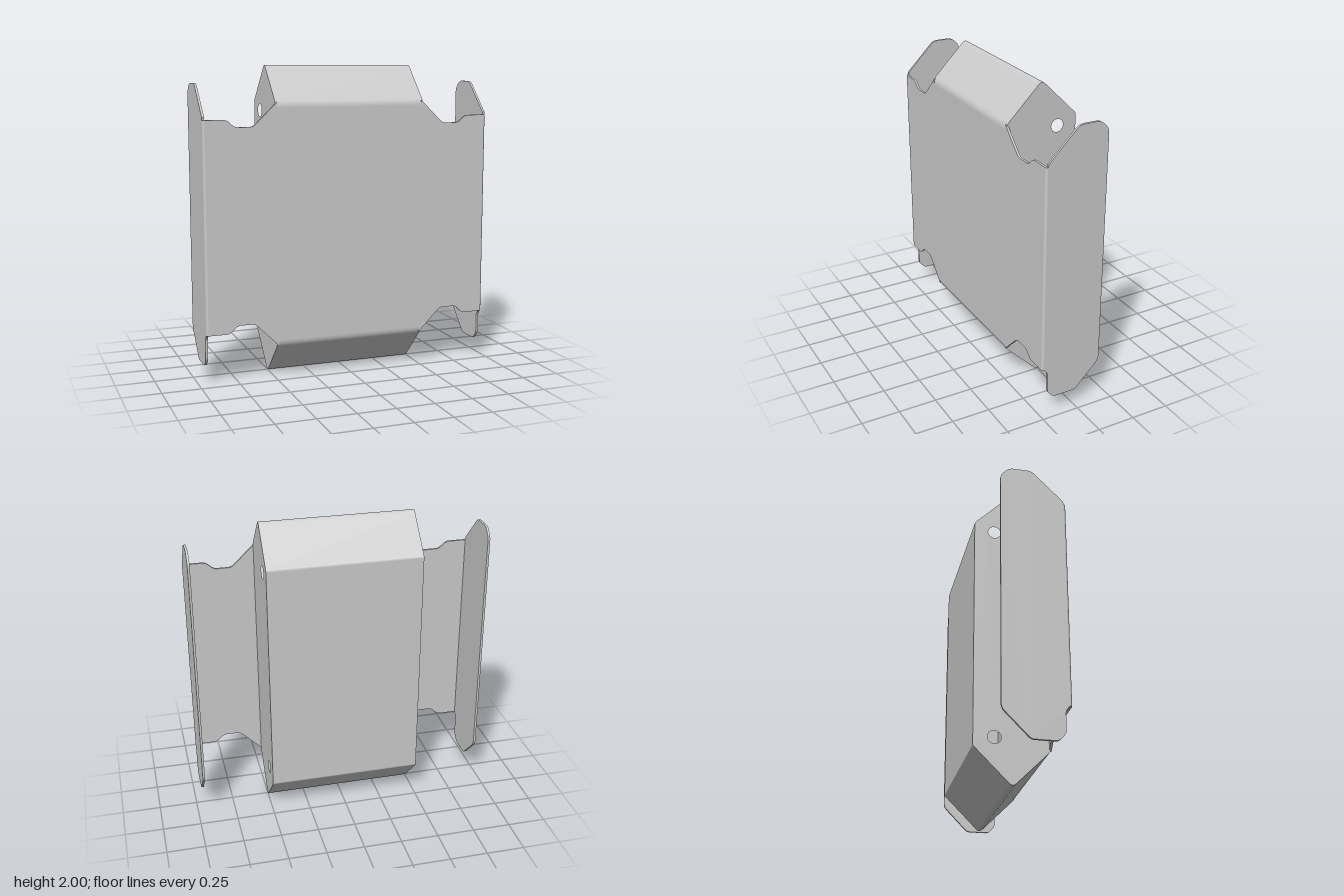
import * as THREE from 'three';

const T = 0.015;        // sheet thickness
const FRONT = 0.24;     // z of the front face
const EDGE = 0.96;      // outer x of the flanges

// Closed outline whose corners are rounded; a point is [x, y, cut length].
function roundedShape(points) {
  const shape = new THREE.Shape();
  const n = points.length;
  const v = points.map(([x, y]) => new THREE.Vector2(x, y));
  points.forEach(([, , cut = 0], i) => {
    const toward = (j) => v[j].clone().sub(v[i]).setLength(cut).add(v[i]);
    const a = cut ? toward((i + n - 1) % n) : v[i];
    if (i === 0) shape.moveTo(a.x, a.y);
    else shape.lineTo(a.x, a.y);
    if (cut) {
      const b = toward((i + 1) % n);
      shape.quadraticCurveTo(v[i].x, v[i].y, b.x, b.y);
    }
  });
  shape.closePath();
  return shape;
}

const extrude = (shape, depth) =>
  new THREE.ExtrudeGeometry(shape, { depth, bevelEnabled: false, curveSegments: 8 });

// Extrudes a side profile of [z, y, cut] points along x, starting at x0.
function extrudeAcross(profile, x0, width, holes = []) {
  const shape = roundedShape(profile.map(([z, y, cut]) => [-z, y, cut]));
  for (const [z, y, r] of holes) {
    shape.holes.push(new THREE.Path().absarc(-z, y, r, 0, Math.PI * 2, true));
  }
  return extrude(shape, width).rotateY(Math.PI / 2).translate(x0, 0, 0);
}

export function createModel() {
  const model = new THREE.Group();
  const material = new THREE.MeshStandardMaterial({ color: 0xcccccc });
  const add = (name, geometry) => {
    const mesh = new THREE.Mesh(geometry, material);
    mesh.name = name;
    model.add(mesh);
  };

  // Six-sided body with two holes running through its ends
  add('body', extrudeAcross([
    [FRONT, 0.23, 0.03], [FRONT, 1.77, 0.03], [0, 2.0106, 0.03],
    [-FRONT, 1.77, 0.01], [-FRONT, 0.23, 0.01], [0, -0.0106, 0.03],
  ], -0.5, 1, [[-0.11, 1.71, 0.042], [-0.11, 0.29, 0.042]]));

  // Side wings of the front plate, bends and flanges
  for (const side of [1, -1]) {
    const label = side > 0 ? 'left' : 'right';

    const wing = [
      [0.49, 0.225], [0.5, 0.235], [0.645, 0.38, 0.025], [0.76, 0.38, 0.025],
      [0.81, 0.33, 0.025], [EDGE - T, 0.33], [EDGE - T, 1.672],
      [0.81, 1.672, 0.025], [0.76, 1.625, 0.025], [0.645, 1.625, 0.025],
      [0.5, 1.765], [0.49, 1.775],
    ].map(([x, y, cut]) => [x * side, y, cut]);
    add(label + 'Wing', extrude(roundedShape(wing), T).translate(0, 0, FRONT - T));

    const bend = new THREE.CylinderGeometry(T, T, 1.342, 6, 1, false,
      side > 0 ? 0 : Math.PI * 1.5, Math.PI / 2);
    add(label + 'Bend', bend.translate(side * (EDGE - T), 1.001, FRONT - T));

    add(label + 'Flange', extrudeAcross([
      [FRONT - T, 0.33], [FRONT - T, 1.69], [0.025, 1.89, 0.03],
      [-0.115, 1.89, 0.03], [-0.17, 1.835, 0.03], [-0.17, 0.29, 0.03],
      [0, 0.117, 0.02], [0.155, 0.117, 0.02], [0.2, 0.165, 0.02],
      [0.2, 0.3, 0.02],
    ], side > 0 ? EDGE - T : -EDGE, T));
  }

  return model;
}
